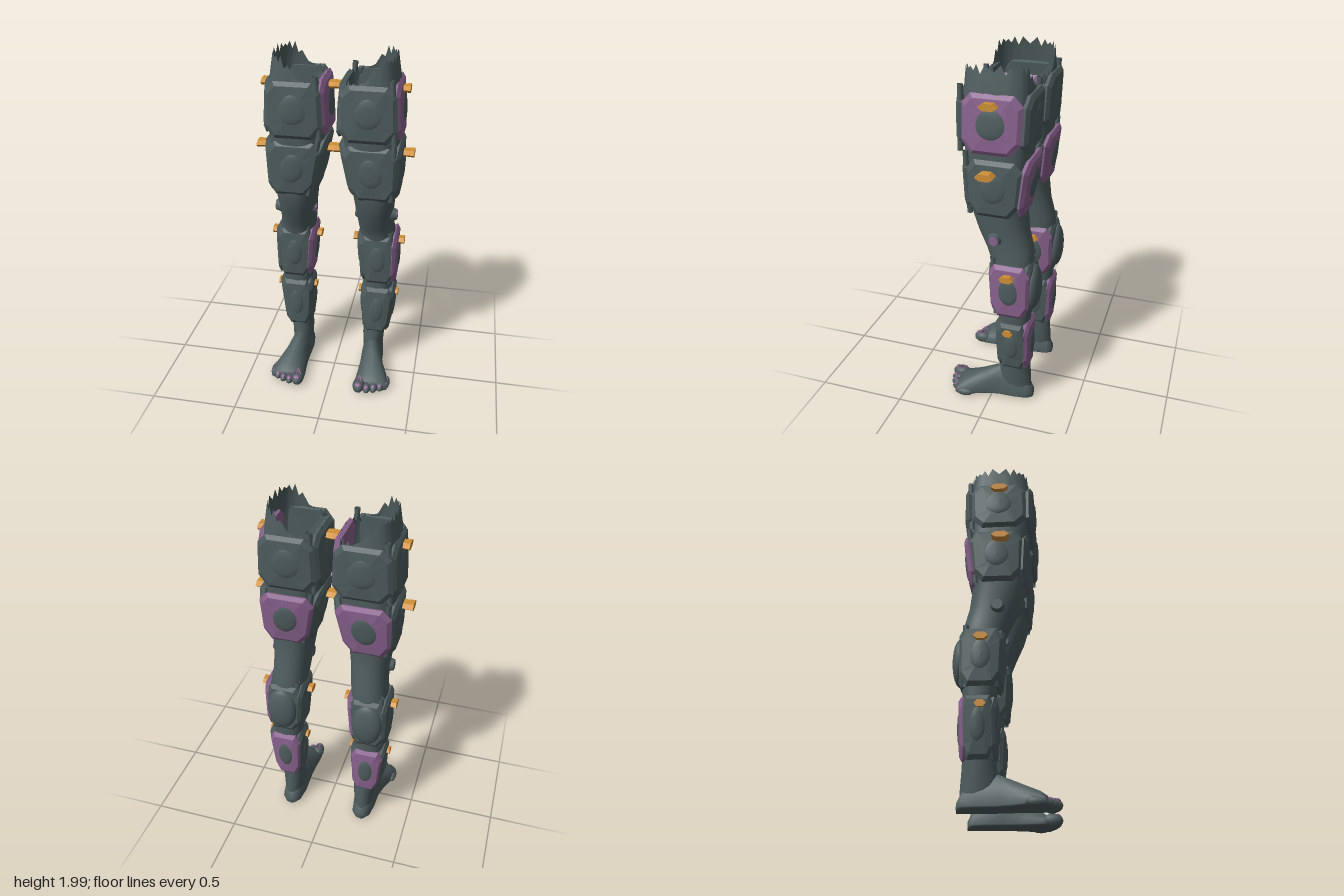
import * as THREE from 'three';

const slate = new THREE.MeshStandardMaterial({ color: 0x4f5d5e, side: THREE.DoubleSide });
slate.name = 'slate';
const purple = new THREE.MeshStandardMaterial({ color: 0x8a638f });
purple.name = 'purple';
const amber = new THREE.MeshStandardMaterial({ color: 0xcf9038 });
amber.name = 'amber';

// Joins closed rings of points into a surface
function loft(rings, flip, flat = false) {
  const n = rings[0].length, index = [];
  for (let i = 0; i < rings.length - 1; i++) {
    for (let j = 0; j < n; j++) {
      const a = i * n + j, b = i * n + (j + 1) % n, c = a + n, d = b + n;
      index.push(...(flip ? [a, c, b, b, c, d] : [a, b, c, b, d, c]));
    }
  }
  let g = new THREE.BufferGeometry().setFromPoints(rings.flat());
  g.setIndex(index);
  if (flat) g = g.toNonIndexed();
  g.computeVertexNormals();
  return g;
}

function add(group, name, geometry, material) {
  const mesh = new THREE.Mesh(geometry, material);
  mesh.name = name;
  group.add(mesh);
  return mesh;
}

// Leg sections: y, x min, x max, z min, z max, roundness power
const SKIN = [
  [0.04, 0.18, 0.27, -0.225, -0.06, 1], [0.12, 0.165, 0.285, -0.225, -0.03, 1],
  [0.2, 0.16, 0.29, -0.22, -0.04, 1], [0.3, 0.165, 0.305, -0.215, -0.05, 0.9],
  [0.57, 0.16, 0.33, -0.22, -0.05, 0.85], [0.78, 0.145, 0.34, -0.235, -0.02, 0.85],
  [0.93, 0.135, 0.335, -0.23, 0, 0.85], [1.0, 0.125, 0.325, -0.225, 0.03, 0.9],
  [1.1, 0.115, 0.325, -0.2, 0.075, 0.9], [1.22, 0.1, 0.335, -0.185, 0.11, 0.8],
  [1.4, 0.07, 0.345, -0.195, 0.115, 0.7], [1.55, 0.05, 0.35, -0.205, 0.135, 0.65],
  [1.75, 0.045, 0.345, -0.21, 0.14, 0.65], [1.83, 0.045, 0.34, -0.21, 0.14, 0.65],
];

// Armour tiers: heights, bottom and top box [x0, x1, z0, z1], bolt and patch data
const TIERS = [
  { y: [1.56, 1.86], lo: [0.012, 0.375, -0.225, 0.165], hi: [0.03, 0.355, -0.24, 0.165],
    wide: 0.87, deep: 0.78, purpleSide: true, bolt: [1.81, -0.03, 0.05, 0.0, 0.39] },
  { y: [1.22, 1.53], lo: [0.085, 0.365, -0.2, 0.125], hi: [0.02, 0.375, -0.24, 0.14],
    wide: 0.87, deep: 0.8, purpleBack: true, bolt: [1.465, -0.02, 0.05, 0.0, 0.427] },
  { y: [0.62, 0.94], lo: [0.14, 0.36, -0.24, -0.01], hi: [0.115, 0.362, -0.245, 0.005],
    wide: 0.86, deep: 0.92, purpleSide: true, bolt: [0.88, -0.12, 0.04, 0.095, 0.39] },
  { y: [0.25, 0.57], lo: [0.155, 0.325, -0.23, -0.035], hi: [0.14, 0.36, -0.24, -0.03],
    wide: 0.88, deep: 0.82, purpleBack: true, bolt: [0.52, -0.12, 0.03, 0.13, 0.367] },
];
const OCTAGON = [[1, -0.6], [1, 0.65], [0.7, 1], [-0.7, 1], [-1, 0.65], [-1, -0.6], [-0.65, -1], [0.65, -1]];
const FACES = ['front', 'back', 'outer', 'inner'];

function buildLeg(m) {
  const leg = new THREE.Group();
  const P = (x, y, z) => new THREE.Vector3(m * x, y, z);
  const mirrored = m < 0;
  const lerp = THREE.MathUtils.lerp;

  // Hollow leg with a ragged, outward rising rim
  const N = 48;
  const ringAt = ([y, x0, x1, z0, z1, p], lift) => Array.from({ length: N }, (_, j) => {
    const a = j / N * Math.PI * 2, c = Math.cos(a), s = Math.sin(a);
    const x = (x0 + x1) / 2 + (x1 - x0) / 2 * Math.sign(c) * Math.abs(c) ** p;
    const z = (z0 + z1) / 2 + (z1 - z0) / 2 * Math.sign(s) * Math.abs(s) ** p;
    return P(x, y + (lift ? lift(x, j) : 0), z);
  });
  const rim = (x, j) => 0.12 * THREE.MathUtils.smoothstep(x, 0.13, 0.28)
    + (j % 2 ? 0.03 : 0) + 0.01 * Math.sin(j * 2.3);
  const rings = SKIN.map(s => ringAt(s));
  rings.push(ringAt([1.835, 0.05, 0.315, -0.2, 0.13, 0.7], rim));
  add(leg, 'legSkin', loft(rings, !mirrored), slate);

  // Foot sections: z, centre x, half width, height
  const foot = [
    [-0.24, 0.225, 0.001, 0.03], [-0.238, 0.225, 0.03, 0.06], [-0.21, 0.225, 0.055, 0.12],
    [-0.13, 0.225, 0.066, 0.17], [-0.04, 0.228, 0.066, 0.195], [0.03, 0.238, 0.074, 0.165],
    [0.1, 0.25, 0.09, 0.132], [0.17, 0.258, 0.104, 0.1], [0.205, 0.255, 0.1, 0.075], [0.215, 0.255, 0.001, 0.04],
  ].map(([z, cx, w, h]) => Array.from({ length: 20 }, (_, j) => {
    const a = j / 20 * Math.PI * 2, s = Math.sin(a);
    return P(cx + w * Math.cos(a), s > 0 ? 0.03 + (h - 0.03) * s : 0.03 + 0.022 * s, z);
  }));
  add(leg, 'foot', loft(foot, mirrored), slate);

  // Toes with coloured nails and knuckle bands
  [[0.187, 0.276, 0.036], [0.235, 0.268, 0.026], [0.275, 0.256, 0.025], [0.312, 0.236, 0.024], [0.343, 0.208, 0.023]]
    .forEach(([x, tip, r]) => {
      const ball = new THREE.SphereGeometry(1, 12, 8);
      const toe = add(leg, 'toe', ball, slate);
      toe.scale.set(r, r * 1.05, 0.055);
      toe.position.copy(P(x, r + 0.012, tip - 0.055));
      const nail = add(leg, 'toenail', ball, purple);
      nail.scale.set(r * 0.5, 0.006, 0.014);
      nail.position.copy(P(x, r * 1.75 + 0.012, tip - 0.022));
      nail.rotation.x = 0.6;
      const band = add(leg, 'knuckleBand', new THREE.ConeGeometry(r * 0.75, 0.045, 3), purple);
      band.scale.z = 0.2;
      band.rotation.x = -1.25;
      band.position.copy(P(x, r * 2 + 0.016, tip - 0.07));
    });

  for (const tier of TIERS) {
    const { y: [y0, y1], lo, hi, wide, deep } = tier;

    // Point on a tier face: s across, t up, n outwards
    const point = (face, s, t, n) => {
      const k = (t + 1) / 2;
      const [x0, x1, z0, z1] = lo.map((v, i) => lerp(v, hi[i], k));
      const y = lerp(y0, y1, k), cx = (x0 + x1) / 2, cz = (z0 + z1) / 2;
      const hx = (x1 - x0) / 2 * wide, hz = (z1 - z0) / 2 * deep;
      const d = n - 0.016 * s * s;
      if (face === 'front') return P(cx + s * hx, y, z1 + d);
      if (face === 'back') return P(cx - s * hx, y, z0 - d);
      if (face === 'outer') return P(x1 + d, y, cz - s * hz);
      return P(x0 - d, y, cz + s * hz);
    };

    for (const face of FACES) {
      const sideways = face === (mirrored ? 'inner' : 'outer');
      const tinted = (tier.purpleSide && sideways) || (tier.purpleBack && face === 'back');
      // Bevelled eight-sided armour plate
      const layers = [[0, -0.035], [0.95, -0.035], [1, -0.014], [0.86, 0], [0.45, 0.001], [0, 0.001]];
      const plate = layers.map(([k, n]) => OCTAGON.map(([s, t]) => point(face, s * k, t * k, n)));
      add(leg, face + 'Plate', loft(plate, mirrored, true), tinted ? purple : slate);
      // Low rounded swelling in the middle of the plate
      const swell = [[1, -0.004], [0.85, 0.004], [0.5, 0.007], [0, 0.008]].map(([k, n]) =>
        Array.from({ length: 20 }, (_, j) => {
          const a = j / 20 * Math.PI * 2;
          return point(face, k * 0.52 * Math.cos(a), k * (0.55 + 0.06 * Math.sin(a)) * Math.sin(a), n);
        }));
      add(leg, face + 'Swelling', loft(swell, mirrored), slate);
    }

    // Six-sided bolts on both sides, widening outwards
    const [by, bz, bw, inX, outX] = tier.bolt;
    const mid = (by - y0) / (y1 - y0);
    for (const [tip, base, dir] of [[outX, lerp(lo[1], hi[1], mid) - 0.02, 1], [inX, lerp(lo[0], hi[0], mid) + 0.02, -1]]) {
      const bolt = add(leg, 'bolt', new THREE.CylinderGeometry(1, 0.85, Math.abs(tip - base), 6).toNonIndexed(), amber);
      bolt.geometry.computeVertexNormals();
      bolt.scale.set(0.021, 1, bw);
      bolt.rotation.z = -dir * m * Math.PI / 2;
      bolt.position.copy(P((tip + base) / 2, by, bz));
    }

    // Upright rods in two opposite corners
    if (y0 > 0.5) {
      const corner = (b, outer, front) => [outer ? b[1] - 0.045 : b[0] + 0.045, front ? b[3] - 0.032 : b[2] + 0.04];
      for (const front of [true, false]) {
        const outer = front !== mirrored;
        const [ax, az] = corner(lo, outer, front), [cx, cz] = corner(hi, outer, front);
        const path = new THREE.LineCurve3(P(ax, y0, az), P(cx, y1 + 0.03, cz));
        add(leg, 'cornerRod', new THREE.TubeGeometry(path, 1, 0.015, 8), slate);
      }
    }
  }

  // Rounded calf guard
  const calf = add(leg, 'calfGuard', new THREE.SphereGeometry(1, 24, 16), slate);
  calf.scale.set(0.085, 0.135, 0.042);
  calf.position.copy(P(0.247, 0.785, -0.236));

  // Knee joint discs
  for (const [x, dir] of [[0.328, 1], [0.132, -1]]) {
    const disc = add(leg, 'kneeDisc', new THREE.CylinderGeometry(0.03, 0.042, 0.035, 16), slate);
    disc.rotation.z = -dir * m * Math.PI / 2;
    disc.position.copy(P(x, 1.08, -0.04));
    if (dir * m > 0) {
      const cap = add(leg, 'kneeCap', new THREE.CylinderGeometry(0.026, 0.026, 0.006, 16), purple);
      cap.rotation.z = Math.PI / 2;
      cap.position.copy(P(x + dir * 0.019, 1.08, -0.04));
    }
  }
  return leg;
}

export function createModel() {
  const model = new THREE.Group();
  model.name = 'armouredLegs';
  for (const m of [1, -1]) {
    const leg = buildLeg(m);
    leg.name = m > 0 ? 'leftLeg' : 'rightLeg';
    model.add(leg);
  }
  return model;
}
